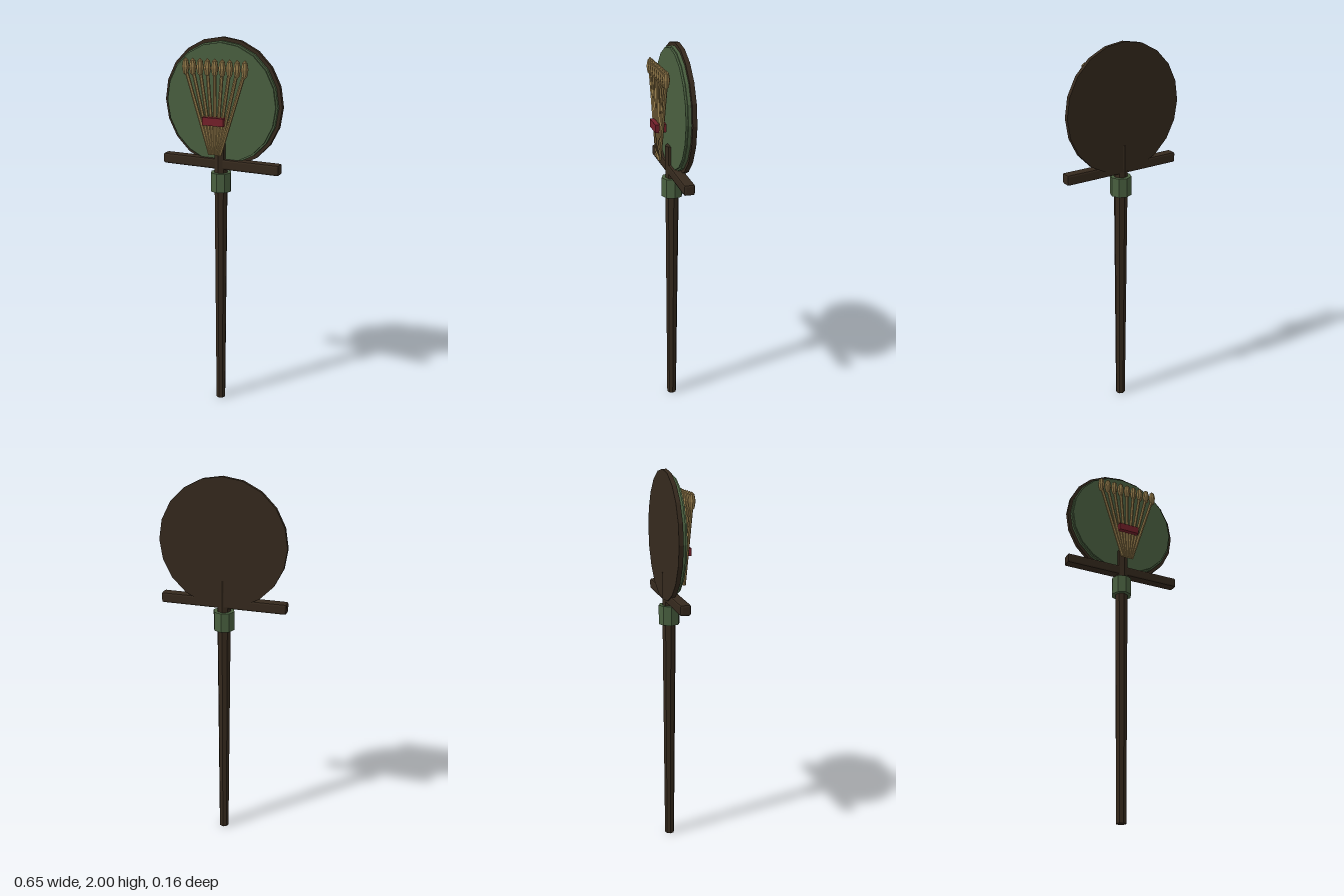
import * as THREE from 'three';
import { RoundedBoxGeometry } from 'three/addons/geometries/RoundedBoxGeometry.js';

export function createModel() {
  const model = new THREE.Group();
  const material = (name, color) => {
    const m = new THREE.MeshStandardMaterial({ color, flatShading: true });
    m.name = name;
    return m;
  };
  const darkWood = material('dark wood', 0x35291d);
  const green = material('moss green', 0x4a6040);
  const straw = material('straw', 0x937a4a);
  const red = material('dark red', 0x74202a);

  const add = (name, geometry, mat, x, y, z, parent = model) => {
    const mesh = new THREE.Mesh(geometry, mat);
    mesh.name = name;
    mesh.position.set(x, y, z);
    parent.add(mesh);
    return mesh;
  };

  // Tapered pole with its collar and crossbar
  const poleZ = -0.024;
  add('pole', new THREE.CylinderGeometry(0.037, 0.026, 1.49, 8), darkWood, 0, 0.745, poleZ);
  add('collar', new THREE.CylinderGeometry(0.055, 0.055, 0.1, 8), green, 0, 1.272, poleZ);
  add('crossbar', new RoundedBoxGeometry(0.655, 0.055, 0.055, 1, 0.01), darkWood, 0, 1.368, poleZ);

  // Round board: dark backing with a stepped green face
  const disc = (name, radius, back, front, mat) => {
    const geometry = new THREE.CylinderGeometry(radius, radius, front - back, 20).rotateX(Math.PI / 2);
    add(name, geometry, mat, 0, 1.675, (back + front) / 2);
  };
  disc('boardBack', 0.325, -0.057, -0.035, darkWood);
  disc('boardFace', 0.308, -0.035, -0.019, green);
  disc('boardInset', 0.3, -0.019, -0.01, green);

  // Fan of nine stalks, each with a pointed bud
  const fan = new THREE.Group();
  fan.name = 'stalkFan';
  model.add(fan);
  const fanZ = 0.048;
  const up = new THREE.Vector3(0, 1, 0);
  const budGeometry = new THREE.SphereGeometry(0.019, 8, 4).scale(1, 2.4, 1);
  for (let i = -4; i <= 4; i++) {
    const bottom = new THREE.Vector3(i * 0.007, 1.427, fanZ);
    const top = new THREE.Vector3(i * 0.04, 1.845, fanZ);
    const direction = top.clone().sub(bottom);
    const middle = bottom.clone().add(top).multiplyScalar(0.5);
    const stalk = add('stalk', new THREE.CylinderGeometry(0.009, 0.009, direction.length(), 6),
      straw, middle.x, middle.y, fanZ, fan);
    stalk.quaternion.setFromUnitVectors(up, direction.normalize());
    add('bud', budGeometry, straw, i * 0.04, 1.858, fanZ, fan);
  }

  // Band that binds the stalks
  add('band', new THREE.BoxGeometry(0.116, 0.04, 0.057), red, 0, 1.598, fanZ);

  return model;
}
